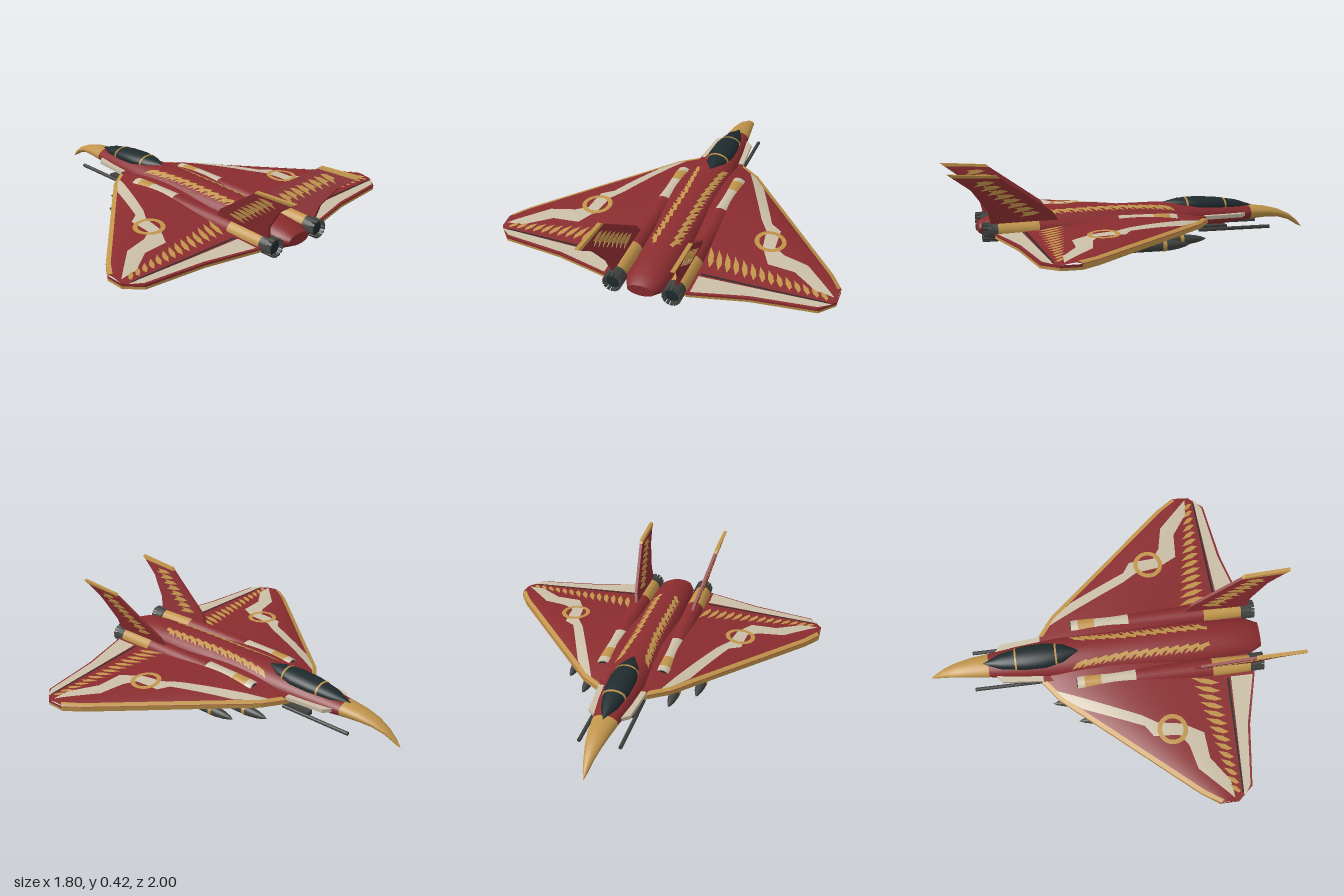
import * as THREE from 'three';
import { mergeVertices } from 'three/addons/utils/BufferGeometryUtils.js';

const material = (name, color) => Object.assign(new THREE.MeshStandardMaterial({ color }), { name });
const red = material('crimson', 0x8a2c2f), gold = material('gold', 0xc0944a), cream = material('cream', 0xcabea6);
const glass = material('dark glass', 0x1f2b2e), gunmetal = material('gunmetal', 0x414340), black = material('hinge black', 0x2a2a28);

// Piecewise linear lookup: rows are [key, value, value...]
function lerpRow(rows, k, col = 1) {
  if (k <= rows[0][0]) return rows[0][col];
  for (let i = 1; i < rows.length; i++) {
    const a = rows[i - 1], b = rows[i];
    if (k <= b[0]) return a[col] + (b[col] - a[col]) * (k - a[0]) / (b[0] - a[0]);
  }
  return rows[rows.length - 1][col];
}

function buildGeometry(pos, index) {
  const g = new THREE.BufferGeometry();
  g.setAttribute('position', new THREE.Float32BufferAttribute(pos, 3));
  if (index) g.setIndex(index);
  g.computeVertexNormals();
  return g;
}

// Elliptical loft through [z, halfWidth, bottom, top], z ascending
function loft(rows, n = 40) {
  const pos = [], idx = [];
  const ring = ([z, w, b, t]) => {
    for (let j = 0; j < n; j++) {
      const a = j / n * Math.PI * 2;
      pos.push(w * Math.cos(a), (b + t) / 2 + (t - b) / 2 * Math.sin(a), z);
    }
  };
  rows.forEach(ring);
  for (let i = 0; i < rows.length - 1; i++) for (let j = 0; j < n; j++) {
    const a = i * n + j, b = i * n + (j + 1) % n;
    idx.push(a, b, b + n, a, b + n, a + n);
  }
  [rows[0], rows[rows.length - 1]].forEach((row, end) => {
    const s = pos.length / 3;
    ring(row);
    pos.push(0, (row[2] + row[3]) / 2, row[0]);
    for (let j = 0; j < n; j++) {
      const a = s + j, b = s + (j + 1) % n;
      idx.push(s + n, end ? a : b, end ? b : a);
    }
  });
  return buildGeometry(pos, idx);
}

const shapeOf = pts => new THREE.Shape(pts.map(([x, z]) => new THREE.Vector2(x, -z)));

// Plan-view shape, subdivided and draped over the height rule
function drape(shape, height, levels = 3, down = false) {
  const g = new THREE.ShapeGeometry(shape, 16).toNonIndexed(), p = g.attributes.position;
  let tris = [];
  for (let i = 0; i < p.count; i += 3) tris.push([0, 1, 2].map(k => [p.getX(i + k), -p.getY(i + k)]));
  const mid = (a, b) => [(a[0] + b[0]) / 2, (a[1] + b[1]) / 2];
  for (let l = 0; l < levels; l++) tris = tris.flatMap(([a, b, c]) => {
    const d = mid(a, b), e = mid(b, c), f = mid(c, a);
    return [[a, d, f], [d, b, e], [f, e, c], [d, e, f]];
  });
  const pos = tris.flatMap(t => (down ? [t[0], t[2], t[1]] : t).flatMap(([x, z]) => [x, height(x, z), z]));
  const out = mergeVertices(buildGeometry(pos).deleteAttribute('normal'), 1e-5);
  out.computeVertexNormals();
  return out;
}

function mirrored(geo) {
  const g = (geo.index ? geo.toNonIndexed() : geo.clone()).scale(-1, 1, 1);
  for (const a of Object.values(g.attributes)) for (let i = 0; i < a.count; i += 3) for (let k = 0; k < a.itemSize; k++) {
    const v = a.getComponent(i + 1, k);
    a.setComponent(i + 1, k, a.getComponent(i + 2, k));
    a.setComponent(i + 2, k, v);
  }
  return g;
}

// Cylinder along z
const tube = (r0, r1, z0, z1, x, y, open = false) =>
  new THREE.CylinderGeometry(r1, r0, z1 - z0, 28, 1, open).rotateX(Math.PI / 2).translate(x, y, (z0 + z1) / 2);

export function createModel() {
  const model = new THREE.Group();
  const add = (name, geo, mat) => {
    const m = new THREE.Mesh(geo, mat);
    m.name = name;
    model.add(m);
  };
  const both = (name, geo, mat) => {
    add(name + 'Left', geo, mat);
    add(name + 'Right', mirrored(geo), mat);
  };

  // Fuselage and hooked nose
  const body = [[-0.67, 0.066, 0.078, 0.158], [-0.5, 0.09, 0.06, 0.175], [-0.3, 0.108, 0.042, 0.19], [-0.1, 0.118, 0.03, 0.197],
    [0.2, 0.12, 0.023, 0.196], [0.45, 0.118, 0.028, 0.19], [0.65, 0.108, 0.038, 0.178], [0.77, 0.1, 0.048, 0.165], [0.83, 0.07, 0.08, 0.14]];
  add('fuselage', loft(body), red);
  add('nose', loft([[-1, 0.002, 0.018, 0.022], [-0.97, 0.013, 0.032, 0.058], [-0.92, 0.026, 0.062, 0.097], [-0.85, 0.042, 0.083, 0.128],
    [-0.77, 0.055, 0.085, 0.148], [-0.67, 0.067, 0.078, 0.159]]), gold);

  // Canopy and frames
  const canopy = [[-0.7, 0.004, 0.14, 0.156], [-0.6, 0.044, 0.13, 0.19], [-0.47, 0.067, 0.13, 0.211], [-0.36, 0.07, 0.13, 0.218],
    [-0.26, 0.052, 0.14, 0.214], [-0.18, 0.008, 0.17, 0.198]];
  add('canopy', loft(canopy), glass);
  for (const z of [-0.52, -0.3]) add('canopyFrame', loft([-0.005, 0.005].map(d =>
    [z + d, lerpRow(canopy, z + d) + 0.003, 0.13, lerpRow(canopy, z + d, 3) + 0.003])), gold);

  // Feathers along the spine
  const bodyTop = (x, z) => {
    const w = lerpRow(body, z), b = lerpRow(body, z, 2), t = lerpRow(body, z, 3);
    return (b + t) / 2 + (t - b) / 2 * Math.sqrt(Math.max(0, 1 - (x / w) ** 2)) + 0.004;
  };
  for (let i = 0; i < 13; i++) {
    const z = -0.19 + i * 0.056, o = 0.018 * Math.max(0, 1 - i / 4);
    both('spineFeather', drape(shapeOf([[0.035 + o, z + 0.055], [0.05 + o, z], [0.085 + o * 0.6, z - 0.03], [0.07 + o, z + 0.005],
      [0.082 + o * 0.6, z + 0.01], [0.062 + o, z + 0.03], [0.055 + o, z + 0.06]]), bodyTop, 2), gold);
  }

  // Wing planform and heights
  const lead = [[0.06, -0.42], [0.13, -0.39], [0.24, -0.31], [0.84, 0.38], [0.9, 0.47]];
  const trail = [[0.06, 0.74], [0.215, 0.77], [0.5, 0.695], [0.83, 0.65], [0.9, 0.57]];
  const outline = [...lead, ...[...trail].reverse()];
  const edgeY = x => 0.112 - 0.02 * x, bottomY = x => 0.092 - 0.027 * x, seamY = x => bottomY(x) + 0.013;
  const wingTop = lift => (x, z) => {
    const a = lerpRow(lead, x), v = THREE.MathUtils.clamp((z - a) / (lerpRow(trail, x) - a), 0, 1);
    return edgeY(x) + Math.max(0, 0.055 - 0.052 * x) * 6.75 * v * (1 - v) ** 2 + lift;
  };
  const wall = (pts, low, high) => {
    const pos = [];
    for (let i = 1; i < pts.length; i++) {
      const [a, b] = [pts[i - 1], pts[i]];
      const P = (p, f) => [p[0], f(p[0]), p[1]];
      pos.push(...P(a, low), ...P(a, high), ...P(b, high), ...P(a, low), ...P(b, high), ...P(b, low));
    }
    return buildGeometry(pos);
  };
  both('wingTop', drape(shapeOf(outline), wingTop(0), 5), red);
  both('wingUnderside', drape(shapeOf(outline), bottomY, 0, true), cream);
  both('wingLowerEdge', wall(outline, bottomY, seamY), gold);
  both('wingLeadingEdge', wall(lead, seamY, edgeY), gold);
  both('wingTrailingEdge', wall(outline.slice(4), seamY, edgeY), red);

  // Painted wing panels
  const paint = (name, pts, mat, lift = 0.003, levels = 4) => both(name, drape(shapeOf(pts), wingTop(lift), levels), mat);
  const inner = lead.slice(1).map(([x, z]) => [x - 0.014, z + 0.02]);
  paint('leadingStripe', [...lead.slice(1), ...inner.reverse()], gold);
  paint('wingStripe', [[0.19, -0.32], [0.235, -0.285], [0.31, -0.19], [0.45, 0.13], [0.51, 0.17], [0.52, 0.31], [0.58, 0.35], [0.71, 0.38],
    [0.885, 0.55], [0.79, 0.54], [0.66, 0.45], [0.52, 0.44], [0.46, 0.33], [0.44, 0.2], [0.39, 0.12]], cream, 0.004);
  paint('elevon', [[0.225, 0.635], [0.55, 0.617], [0.885, 0.598], [0.825, 0.64], [0.5, 0.682], [0.225, 0.757]], cream);
  paint('elevonHinge', [[0.23, 0.612], [0.86, 0.592], [0.86, 0.6], [0.23, 0.624]], black);
  const ring = new THREE.Shape().absarc(0.485, -0.275, 0.082, 0, Math.PI * 2);
  ring.holes.push(new THREE.Path().absarc(0.485, -0.275, 0.058, 0, Math.PI * 2, true));
  both('wingRing', drape(ring, wingTop(0.006), 2), gold);
  for (let i = 0; i < 14; i++) {
    const x = 0.235 + i * 0.046, e = 0.565 + i * 0.0015, l = 0.15 - i * 0.0075;
    paint('wingFeather', [[x + 0.02, e], [x - 0.008, e - l * 0.4], [x - 0.022, e - l], [x + 0.012, e - l * 0.65], [x + 0.026, e - l * 0.3]], gold, 0.005, 2);
  }

  // Engine nacelles in coloured sections
  const ex = 0.161, ey = 0.109;
  const sections = [[-0.2, -0.16, 0.046, 0.05, cream], [-0.16, -0.07, 0.05, 0.052, gold], [-0.07, 0.12, 0.052, 0.053, cream],
    [0.12, 0.54, 0.053, 0.052, red], [0.54, 0.75, 0.052, 0.046, gold]];
  for (const [z0, z1, r0, r1, mat] of sections) both('nacelle', tube(r0, r1, z0, z1, ex, ey), mat);
  both('intake', tube(0.04, 0.04, -0.204, -0.19, ex, ey), glass);
  both('nozzle', tube(0.05, 0.047, 0.75, 0.8, ex - 0.006, ey), gunmetal);
  both('nozzleCore', tube(0.036, 0.036, 0.79, 0.806, ex - 0.006, ey), glass);
  for (let i = 0; i < 14; i++) {
    const petal = new THREE.BoxGeometry(0.015, 0.008, 0.065).translate(0, 0.045, 0.792).rotateZ(i / 14 * Math.PI * 2);
    both('nozzlePetal', petal.translate(ex - 0.006, ey, 0), gunmetal);
  }

  // Strakes and guns beside the cockpit
  const slab = (pts, y, h) => new THREE.ExtrudeGeometry(shapeOf(pts), { depth: h, bevelEnabled: false }).rotateX(-Math.PI / 2).translate(0, y, 0);
  both('strake', slab([[0.06, -0.64], [0.108, -0.6], [0.128, -0.38], [0.06, -0.38]], 0.108, 0.02), cream);
  both('strakeRoot', slab([[0.06, -0.38], [0.128, -0.38], [0.15, -0.19], [0.06, -0.19]], 0.085, 0.04), red);
  both('gun', tube(0.01, 0.01, -0.76, -0.35, 0.106, 0.05), gunmetal);
  both('gunMount', new THREE.BoxGeometry(0.04, 0.025, 0.16).translate(0.09, 0.06, -0.43), gunmetal);

  // Canted tail fins, drawn as [z, y]
  const finPlate = (pts, thick) => {
    const g = new THREE.ExtrudeGeometry(new THREE.Shape(pts.map(p => new THREE.Vector2(...p))), { depth: thick, bevelEnabled: false });
    g.translate(0, 0, -thick / 2).rotateY(-Math.PI / 2).scale(-1, 1, 1).scale(-1, 1, 1);
    const p = g.attributes.position;
    for (let i = 0; i < p.count; i++) p.setX(i, p.getX(i) + 0.166 + (p.getY(i) - 0.15) * 0.255);
    g.computeVertexNormals();
    return g;
  };
  both('tailFin', finPlate([[0.42, 0.13], [0.47, 0.205], [0.755, 0.402], [0.99, 0.412], [0.885, 0.335], [0.8, 0.22], [0.78, 0.13]], 0.016), red);
  both('tailFinCap', finPlate([[0.74, 0.392], [0.755, 0.405], [1, 0.42], [0.975, 0.402]], 0.02), gold);
  for (let i = 0; i < 8; i++) {
    const z = 0.82 - i * 0.033, y = 0.368 - i * 0.024;
    both('tailFeather', finPlate([[z - 0.055, y + 0.004], [z - 0.02, y - 0.008], [z + 0.05, y - 0.016], [z + 0.025, y], [z + 0.04, y + 0.008], [z - 0.02, y + 0.012]], 0.02), gold);
  }

  // Underwing stores
  const profile = [[0, 0], [0.011, 0.025], [0.02, 0.06], [0.027, 0.11], [0.028, 0.16], [0.028, 0.34], [0.02, 0.41], [0.014, 0.44], [0, 0.44]];
  for (const [x, z] of [[0.235, -0.345], [0.35, -0.215]]) {
    const y = 0.03;
    both('bomb', new THREE.LatheGeometry(profile.map(p => new THREE.Vector2(...p)), 24).rotateX(Math.PI / 2).translate(x, y, z), gunmetal);
    both('bombBand', tube(0.0295, 0.0295, z + 0.13, z + 0.15, x, y), gold);
    both('bombFinFlat', new THREE.BoxGeometry(0.105, 0.004, 0.06).translate(x, y, z + 0.4), gunmetal);
    both('bombFinUpright', new THREE.BoxGeometry(0.004, 0.056, 0.06).translate(x, y, z + 0.4), gunmetal);
    both('pylon', new THREE.BoxGeometry(0.014, 0.05, 0.2).translate(x, 0.072, z + 0.25), gunmetal);
  }
  return model;
}
